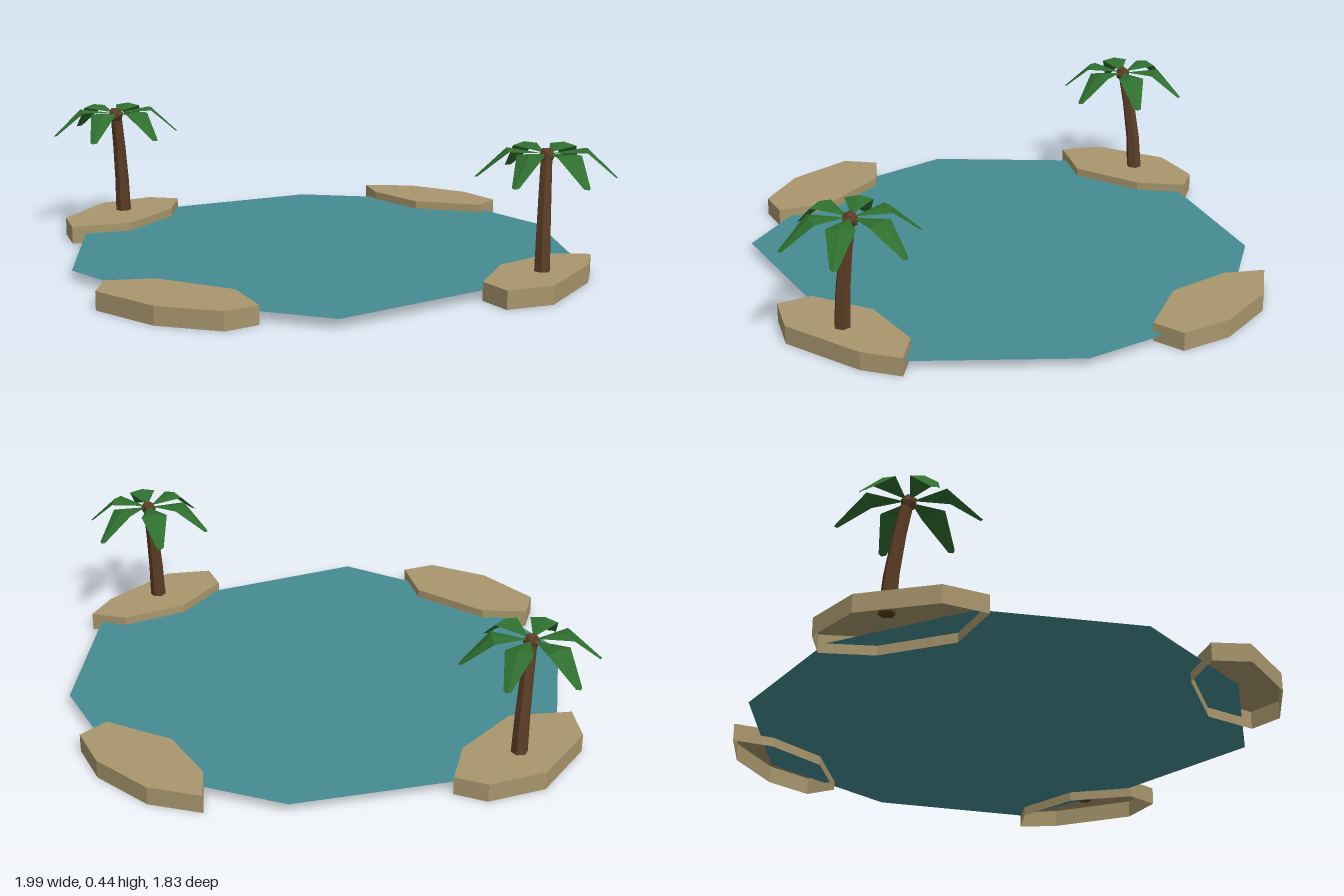
import * as THREE from 'three';

const mat = (color) => new THREE.MeshStandardMaterial({ color, flatShading: true, side: THREE.DoubleSide });
const waterMat = mat(0x458c92);
const sandMat = mat(0xa8966c);
const barkMat = mat(0x5c3e26);
const leafMat = mat(0x2f6f2f);

function mesh(name, geometry, material) {
  const m = new THREE.Mesh(geometry, material);
  m.name = name;
  return m;
}

function fromTriangles(points, index) {
  const g = new THREE.BufferGeometry();
  g.setAttribute('position', new THREE.Float32BufferAttribute(points.flat(), 3));
  g.setIndex(index);
  const flat = g.toNonIndexed();
  flat.computeVertexNormals();
  return flat;
}

// Flat polygon fanned from its middle, outline given as [x, z]
function sheet(outline, y) {
  const n = outline.length;
  const points = [[0, y, 0], ...outline.map(([x, z]) => [x, y, z])];
  const index = [];
  for (let i = 0; i < n; i++) index.push(0, 1 + (i + 1) % n, 1 + i);
  return fromTriangles(points, index);
}

// Bank with a flat top and side walls, open underneath
function bankGeometry(outline, height) {
  const n = outline.length;
  const cx = outline.reduce((s, p) => s + p[0], 0) / n;
  const cz = outline.reduce((s, p) => s + p[1], 0) / n;
  const points = [[cx, height, cz]];
  for (const [x, z] of outline) points.push([x, height, z], [x, 0, z]);
  const index = [];
  for (let i = 0; i < n; i++) {
    const a = 1 + 2 * i, b = 1 + 2 * ((i + 1) % n);
    index.push(0, b, a, a, b, b + 1, a, b + 1, a + 1);
  }
  return fromTriangles(points, index);
}

// Folded leaf along +x: narrow root, wide knee, drooping tip
function leafGeometry() {
  const points = [
    [0.012, 0.425, 0],
    [0.12, 0.435, -0.045], [0.125, 0.443, 0], [0.12, 0.435, 0.045],
    [0.214, 0.352, -0.012], [0.222, 0.35, 0], [0.214, 0.352, 0.012],
  ];
  return fromTriangles(points, [
    0, 2, 1, 0, 3, 2,
    1, 2, 5, 1, 5, 4,
    2, 3, 6, 2, 6, 5,
  ]);
}

// Palm whose crown sits over its origin; lean is the z offset of the foot
function palm(name, x, z, lean, turn) {
  const group = new THREE.Group();
  group.name = name;

  const bottom = 0.05, height = 0.385;
  const trunk = new THREE.CylinderGeometry(0.019, 0.027, height, 6, 3);
  trunk.translate(0, bottom + height / 2, 0);
  const pos = trunk.attributes.position;
  for (let i = 0; i < pos.count; i++) {
    const t = (pos.getY(i) - bottom) / height;
    pos.setZ(i, pos.getZ(i) + lean * (1 - Math.pow(t, 1.6)));
  }
  trunk.computeVertexNormals();
  group.add(mesh('trunk', trunk, barkMat));

  const bud = mesh('crownBud', new THREE.IcosahedronGeometry(0.028, 0), barkMat);
  bud.position.y = 0.418;
  group.add(bud);

  for (let i = 0; i < 6; i++) {
    const leaf = mesh('leaf', leafGeometry(), leafMat);
    leaf.rotation.y = turn + i * Math.PI / 3;
    group.add(leaf);
  }
  group.position.set(x, 0, z);
  return group;
}

export function createModel() {
  const model = new THREE.Group();
  model.name = 'oasis';

  // Ten-sided pool surface
  model.add(mesh('water', sheet([
    [0.87, 0], [0.64, 0.385], [0.26, 0.815], [-0.26, 0.77], [-0.69, 0.5],
    [-0.84, 0.01], [-0.665, -0.46], [-0.265, -0.785], [0.27, -0.83], [0.68, -0.505],
  ], 0.032), waterMat));

  // Sandy banks around the pool
  const banks = {
    backBank: [[0.03, -0.77], [0.21, -0.645], [0.45, -0.64], [0.485, -0.745], [0.355, -0.855], [0.14, -0.92], [-0.035, -0.89]],
    frontBank: [[-0.51, 0.68], [-0.49, 0.8], [-0.27, 0.905], [-0.055, 0.91], [0.025, 0.825], [-0.09, 0.68], [-0.365, 0.62]],
    rightBank: [[-0.875, 0.05], [-0.7, -0.06], [-0.635, -0.31], [-0.67, -0.48], [-0.78, -0.475], [-0.915, -0.335], [-0.95, -0.075]],
    leftBank: [[0.78, 0.02], [0.64, 0.2], [0.615, 0.42], [0.7, 0.5], [0.83, 0.41], [0.91, 0.13], [0.905, -0.005]],
  };
  for (const [name, outline] of Object.entries(banks)) {
    model.add(mesh(name, bankGeometry(outline, 0.06), sandMat));
  }

  // Palms leaning over the banks
  model.add(palm('rightPalm', -0.8, -0.2, -0.055, Math.PI / 6));
  model.add(palm('leftPalm', 0.775, 0.205, 0.04, 0.19));
  return model;
}
